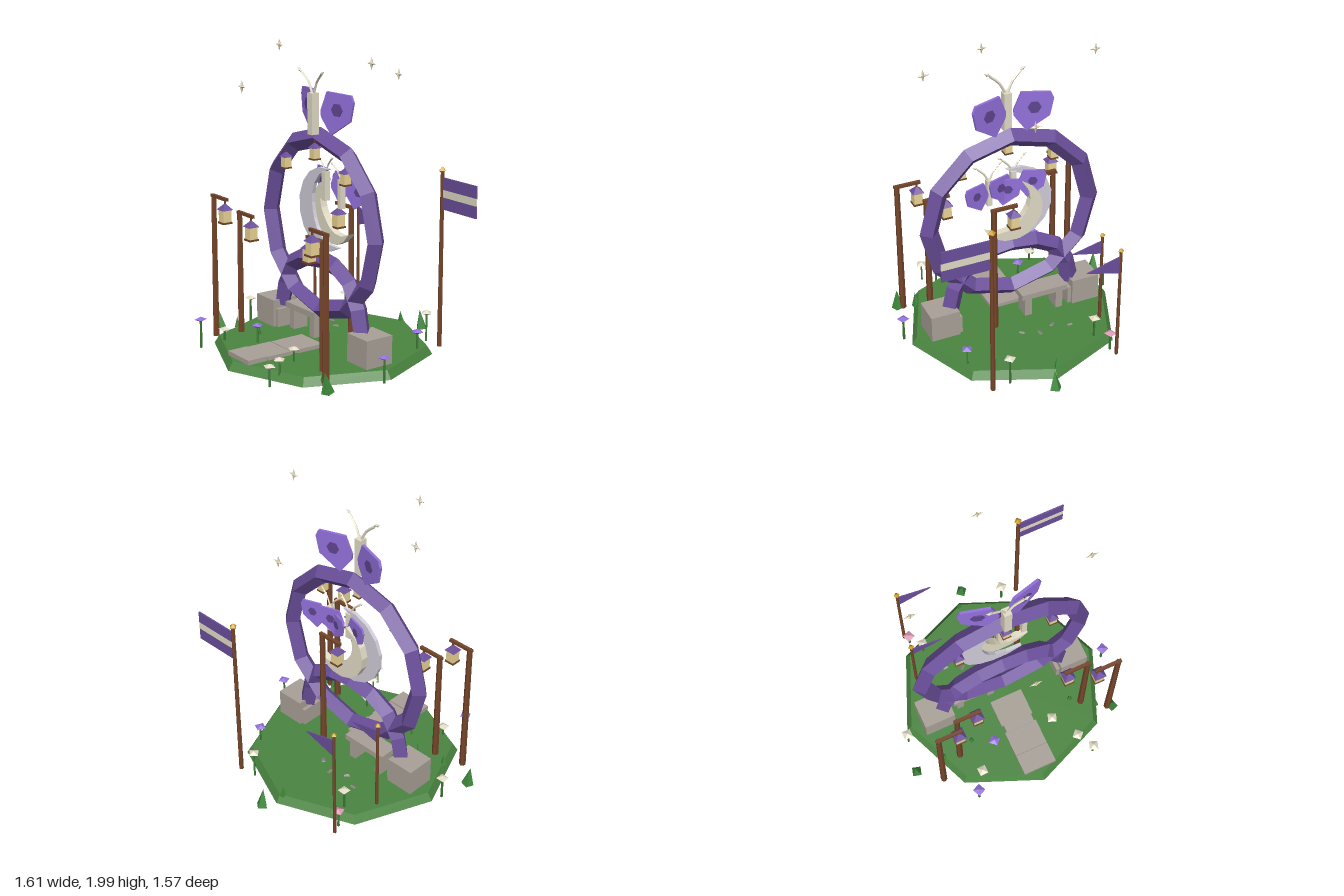
import * as THREE from 'three';

const CX = 0.016; // symmetry axis of the gate
const mat = (color) => new THREE.MeshStandardMaterial({ color, flatShading: true, side: THREE.DoubleSide });
const M = {
  grass: mat(0x4a8540), purple: mat(0x6b4f9b), wing: mat(0x9370db), spot: mat(0x5f4590), wood: mat(0x75452a),
  gold: mat(0xd0a020), cream: mat(0xe2dcc6), glow: mat(0xecd795), stone: mat(0xa9a198), rock: mat(0x85807a),
  veil: mat(0xd2cedb), pink: mat(0xe09ab8), stem: mat(0x3f7a38), bush: mat(0x3f8a3c), star: mat(0xd8ceb0),
};

export function createModel() {
  const root = new THREE.Group();

  function add(parent, name, geometry, material, x = 0, y = 0, z = 0) {
    const mesh = new THREE.Mesh(geometry, material);
    mesh.name = name;
    mesh.position.set(x, y, z);
    parent.add(mesh);
    return mesh;
  }
  function group(name, x = 0, y = 0, z = 0, scale = 1, parent = root) {
    const g = new THREE.Group();
    g.name = name;
    g.position.set(x, y, z);
    g.scale.setScalar(scale);
    parent.add(g);
    return g;
  }
  const box = (w, h, d) => new THREE.BoxGeometry(w, h, d);
  const octa = (rx, ry, rz) => new THREE.OctahedronGeometry(1).scale(rx, ry, rz);
  const tube = (pts, n, r, sides) =>
    new THREE.TubeGeometry(new THREE.CatmullRomCurve3(pts.map((p) => new THREE.Vector3(...p))), n, r, sides);
  const plate = (pts, depth) =>
    new THREE.ExtrudeGeometry(new THREE.Shape(pts.map((p) => new THREE.Vector2(...p))), { depth, bevelEnabled: false });

  // Ground
  add(root, 'groundDisc', new THREE.CylinderGeometry(0.69, 0.725, 0.055, 8), M.grass, CX, 0.042, 0.05);

  // Ring, lower arch and plinths
  add(root, 'ring', new THREE.TorusGeometry(0.572, 0.064, 4, 12), M.purple, CX, 0.855, 0.057);
  const half = [[0.44, 0.22, 0], [0.385, 0.43, 0], [0.27, 0.565, 0]];
  const archPts = [...half, [0, 0.627, 0], ...half.map(([x, y, z]) => [-x, y, z]).reverse()];
  add(root, 'arch', tube(archPts, 8, 0.064, 4), M.purple, CX, 0, 0.057);
  for (const s of [-1, 1]) {
    add(root, 'plinth', box(0.2, 0.2, 0.2), M.stone, CX + s * 0.516, 0.155, 0.055);
    add(root, 'plinthStep', box(0.1, 0.14, 0.16), M.stone, CX + s * 0.44, 0.125, 0.055);
  }

  // Bench
  const bench = group('bench', -0.187, 0, 0.015);
  add(bench, 'benchSeat', box(0.335, 0.04, 0.14), M.stone, 0, 0.23, 0);
  for (const s of [-1, 1]) add(bench, 'benchLeg', box(0.05, 0.16, 0.11), M.stone, s * 0.115, 0.135, 0);

  // Path slabs and rear stones
  [[0.225, 0.19, 0.236], [0.345, 0.07, 0.208], [0.465, 0.18, 0.236], [0.63, 0.14, 0.236]].forEach(([z, d, w], i) =>
    add(root, 'pathSlab', box(w, 0.03, d), M.stone, CX, 0.08 + (i % 2) * 0.004, z));
  [[-0.28, -0.25], [-0.17, -0.2], [-0.06, -0.25], [0.05, -0.2]].forEach(([x, z], i) => {
    const stone = add(root, 'smallStone', new THREE.DodecahedronGeometry(0.042).scale(1, 0.9, 0.9), M.rock, x, 0.042, z);
    stone.rotation.y = i * 0.8;
  });

  // Crescents, tapering towards both tips
  function crescent(name, material, cx, cy, r, a0, a1, width, z, depth) {
    const outer = [], inner = [], n = 10;
    for (let i = 0; i <= n; i++) {
      const a = THREE.MathUtils.degToRad(a0 + ((a1 - a0) * i) / n);
      const q = r - width * Math.sin((Math.PI * i) / n);
      outer.push([cx + r * Math.cos(a), cy + r * Math.sin(a)]);
      if (i > 0 && i < n) inner.unshift([cx + q * Math.cos(a), cy + q * Math.sin(a)]);
    }
    add(root, name, plate([...outer, ...inner], depth), material, 0, 0, z);
  }
  crescent('paleCrescent', M.veil, 0.016, 0.95, 0.275, 80, 305, 0.15, 0.01, 0.025);
  crescent('creamCrescent', M.cream, 0.05, 0.935, 0.215, 110, 328, 0.125, -0.052, 0.05);

  // Butterflies
  function butterfly(x, y, z, scale) {
    const g = group('butterfly', x, y, z, scale);
    add(g, 'butterflyBody', box(0.05, 0.265, 0.055), M.cream);
    for (const s of [-1, 1]) {
      const wing = group('wing', 0, 0, -0.045, 1, g);
      wing.rotation.y = s * 0.27;
      const pts = [[0.025, 0.02], [0.075, 0.145], [0.265, 0.135], [0.285, 0.09], [0.26, -0.03], [0.11, -0.13], [0.03, -0.02]];
      add(wing, 'wingPanel', plate(pts.map(([px, py]) => [s * px, py]), 0.018), M.wing);
      const spot = add(wing, 'wingSpot', new THREE.CylinderGeometry(0.044, 0.044, 0.03, 6), M.spot, s * 0.16, 0.035, 0.01);
      spot.rotation.set(Math.PI / 2, Math.PI / 6, 0);
      add(g, 'antenna', tube([[s * 0.01, 0.13, 0], [s * 0.045, 0.2, 0.005], [s * 0.105, 0.255, 0.015]], 4, 0.009, 4), M.cream);
      const tip = add(g, 'antennaTip', octa(0.026, 0.013, 0.011), M.cream, s * 0.12, 0.267, 0.018);
      tip.rotation.z = s * 0.5;
    }
  }
  butterfly(CX, 1.582, 0.117, 1);
  butterfly(CX, 1.105, 0.02, 0.72);
  butterfly(0.185, 1.08, 0.02, 0.7);

  // Lanterns, with the origin at the hanging point
  function lantern(x, y, z, scale) {
    const g = group('lantern', x, y, z, scale);
    const roof = new THREE.ConeGeometry(0.056, 0.045, 4).rotateY(Math.PI / 4);
    add(g, 'lanternHook', box(0.01, 0.03, 0.01), M.wood, 0, -0.01, 0);
    add(g, 'lanternRoof', roof, M.purple, 0, -0.037, 0);
    add(g, 'lanternLight', box(0.06, 0.085, 0.06), M.glow, 0, -0.1, 0);
    add(g, 'lanternBase', box(0.07, 0.012, 0.07), M.wood, 0, -0.146, 0);
  }
  lantern(CX, 1.41, 0.105, 0.82);
  for (const s of [-1, 1]) lantern(CX + s * 0.324, 1.3, 0.105, 0.82);

  // Lantern posts: post x, height, z, direction of the arm
  function post(name, x, top, z, r) {
    add(root, name, new THREE.CylinderGeometry(r * 0.8, r, top - 0.015, 6), M.wood, x, (top + 0.015) / 2, z);
  }
  for (const [x, top, z, dir] of [
    [-0.615, 0.99, 0.475, 1], [0.647, 0.99, 0.475, -1],
    [-0.449, 0.895, 0.38, 1], [0.481, 0.895, 0.38, -1], [0.185, 0.99, -0.06, -1],
  ]) {
    post('lanternPost', x, top, z, 0.023);
    add(root, 'postArm', box(0.185, 0.02, 0.022), M.wood, x + dir * 0.072, top - 0.006, z);
    lantern(x + dir * 0.138, top - 0.016, z, 1);
  }

  // Banner with three stripes
  post('bannerPole', 0.438, 1.19, -0.6, 0.016);
  add(root, 'finial', octa(0.027, 0.027, 0.027), M.gold, 0.435, 1.2, -0.6);
  [[1.115, 0.08, M.purple], [1.05, 0.05, M.cream], [0.985, 0.08, M.purple]].forEach(([y, h, m]) =>
    add(root, 'bannerStripe', box(0.32, h, 0.01), m, 0.605, y, -0.6));

  // Pennants
  for (const [x, z, top, len, h] of [[-0.45, -0.6, 0.82, 0.24, 0.13], [-0.5, -0.26, 0.72, 0.22, 0.1]]) {
    post('pennantPole', x, top, z, 0.012);
    add(root, 'finial', octa(0.021, 0.021, 0.021), M.gold, x, top + 0.01, z);
    const pts = [[0, 0], [0, -h], [len, -h / 2]];
    add(root, 'pennant', plate(pts, 0.008), M.purple, x, top - 0.03, z - 0.004);
  }

  // Four-pointed stars
  for (const [x, y, z] of [[-0.54, 1.955, -0.005], [0.575, 1.955, 0.09], [-0.03, 1.79, 0.615], [0.105, 1.79, -0.498]]) {
    const g = group('star', x, y, z);
    add(g, 'starUpright', octa(0.011, 0.042, 0.014), M.star);
    add(g, 'starCross', octa(0.042, 0.011, 0.011), M.star);
  }

  // Flowers: x, z, height, petals
  const flowers = [
    [-0.37, -0.43, 0.215, M.cream], [-0.43, -0.545, 0.15, M.pink], [0.315, -0.59, 0.215, M.cream],
    [0.51, -0.35, 0.185, M.wing], [-0.73, 0.125, 0.185, M.cream], [0.77, 0.125, 0.185, M.wing],
    [-0.2, 0.415, 0.185, M.wing], [0.235, 0.425, 0.15, M.cream], [-0.36, 0.565, 0.145, M.cream],
    [-0.445, 0.695, 0.215, M.wing], [0.345, 0.61, 0.15, M.cream], [0.41, 0.725, 0.15, M.cream],
  ];
  flowers.forEach(([x, z, h, m], i) => {
    const g = group('flower', x, 0, z);
    g.rotation.y = 0.75 + i * 0.4;
    add(g, 'stem', new THREE.CylinderGeometry(0.007, 0.009, h - 0.02, 4), M.stem, 0, (h + 0.02) / 2, 0);
    add(g, 'petals', octa(0.042, 0.018, 0.042), m, 0, h, 0);
  });

  // Bushes and grass tufts: x, z, radius, bottom, height
  [
    [-0.77, 0.355, 0.042, 0.01, 0.135], [0.68, 0.495, 0.042, 0.01, 0.135], [0.07, -0.745, 0.042, 0.01, 0.135],
    [0, -0.625, 0.022, 0.06, 0.08], [-0.33, 0.32, 0.022, 0.06, 0.08], [-0.555, 0.345, 0.022, 0.06, 0.08],
    [0.57, 0.43, 0.03, 0.03, 0.11], [0.42, 0.33, 0.022, 0.06, 0.08],
  ].forEach(([x, z, r, y, h], i) => {
    const tuft = add(root, r > 0.04 ? 'bush' : 'grassTuft', new THREE.ConeGeometry(r, h, 4), M.bush, x, y + h / 2, z);
    tuft.rotation.set(0.08, 0.5 + i * 0.6, 0.06);
  });

  return root;
}
